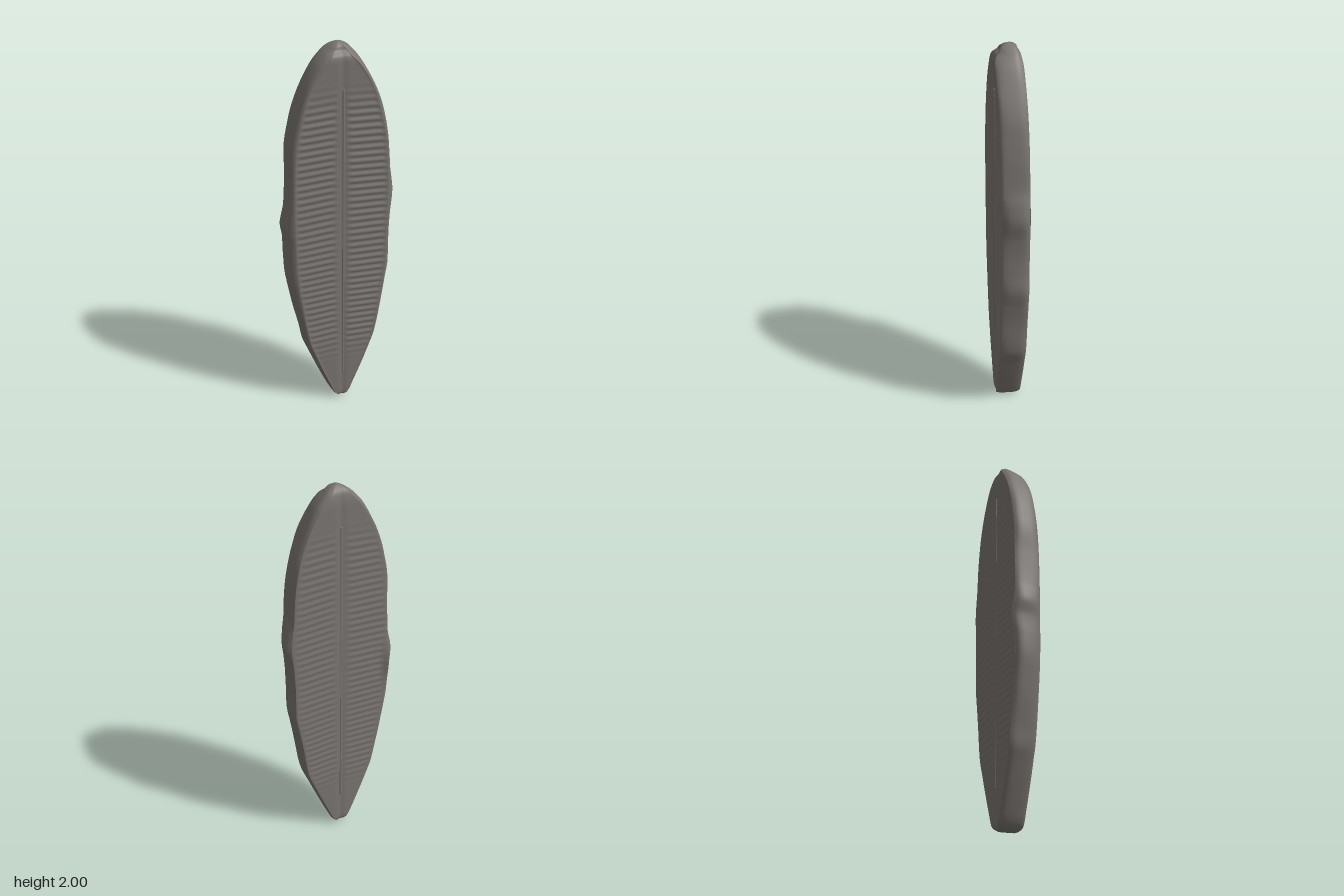
import * as THREE from 'three';

// Smooth cubic interpolation through [y, value] points
function profile(points) {
  const n = points.length;
  const slope = (i) => {
    const a = points[Math.max(i - 1, 0)], b = points[Math.min(i + 1, n - 1)];
    return (b[1] - a[1]) / (b[0] - a[0]);
  };
  return (y) => {
    let i = 0;
    while (i < n - 2 && y > points[i + 1][0]) i++;
    const [y0, v0] = points[i], [y1, v1] = points[i + 1];
    const h = y1 - y0, t = (y - y0) / h, t2 = t * t, t3 = t2 * t;
    return (2 * t3 - 3 * t2 + 1) * v0 + (t3 - 2 * t2 + t) * h * slope(i)
      + (3 * t2 - 2 * t3) * v1 + (t3 - t2) * h * slope(i + 1);
  };
}

// Wavy outer edge on each side, and the narrower edge of the front face
const edgeRight = profile([[0, 0.02], [0.015, 0.038], [0.05, 0.056], [0.1, 0.078], [0.2, 0.12], [0.3, 0.16],
  [0.4, 0.2], [0.58, 0.222], [0.7, 0.245], [0.8, 0.267], [0.9, 0.262], [1, 0.262], [1.1, 0.272], [1.2, 0.29],
  [1.28, 0.28], [1.36, 0.26], [1.5, 0.25], [1.6, 0.237], [1.69, 0.218], [1.8, 0.172], [1.9, 0.118],
  [1.96, 0.07], [1.985, 0.04], [1.996, 0.018], [2, 0.004]]);
const edgeLeft = profile([[0, 0.02], [0.015, 0.038], [0.05, 0.06], [0.1, 0.083], [0.2, 0.125], [0.3, 0.165],
  [0.36, 0.188], [0.45, 0.205], [0.58, 0.235], [0.7, 0.258], [0.8, 0.274], [0.9, 0.278], [1, 0.278], [1.08, 0.29],
  [1.18, 0.27], [1.35, 0.26], [1.5, 0.26], [1.6, 0.242], [1.69, 0.22], [1.8, 0.176], [1.9, 0.122],
  [1.96, 0.072], [1.985, 0.04], [1.996, 0.018], [2, 0.004]]);
const faceEdge = profile([[0, 0.008], [0.03, 0.035], [0.1, 0.066], [0.2, 0.108], [0.3, 0.146], [0.4, 0.18],
  [0.6, 0.215], [0.8, 0.241], [1, 0.248], [1.2, 0.25], [1.4, 0.244], [1.55, 0.228], [1.7, 0.192],
  [1.8, 0.155], [1.9, 0.092], [1.95, 0.045], [1.97, 0.03], [2, 0.002]]);
// Front and back depth, rounded off at the tips
const frontDepth = profile([[0, 0.055], [0.012, 0.068], [0.03, 0.072], [0.1, 0.073], [1, 0.073], [1.9, 0.07],
  [1.945, 0.064], [1.965, 0.043], [1.985, 0.035], [2, 0.012]]);
const backDepth = profile([[0, -0.04], [0.012, -0.052], [0.04, -0.058], [1, -0.062], [1.9, -0.057],
  [1.96, -0.05], [1.985, -0.036], [2, -0.012]]);

const bump = (v, centre, width) => Math.exp(-(((v - centre) / width) ** 2));

// Fine cross ribs that fade towards the tips, the rim and the midrib
function ribs(x, y, half) {
  const along = THREE.MathUtils.smoothstep(y, 0.2, 0.45) * (1 - THREE.MathUtils.smoothstep(y, 1.65, 1.85));
  const u = Math.abs(x) / half;
  const across = THREE.MathUtils.smoothstep(u, 0.08, 0.22) * (1 - THREE.MathUtils.smoothstep(u, 0.86, 0.97));
  return Math.sin((y + 0.05 * Math.abs(x)) * 2 * Math.PI / 0.036 + 0.5 * Math.sin(y * 9 + x * 4)) * along * across;
}

// One closed cross-section at height y: front, right side, back, left side
const FACE = 36;
const SIDE = [[0.1, 0.45], [0.28, 0.72], [0.48, 0.9], [0.66, 1], [0.8, 1], [0.92, 0.8], [0.975, 0.45]];
function section(y) {
  const zf = frontDepth(y), zb = backDepth(y);
  const R = edgeRight(y), L = edgeLeft(y), F = faceEdge(y);
  const fr = Math.min(F, R - 0.002), fl = Math.min(F, L - 0.002);
  const br = fr + (R - fr) * 0.5, bl = fl + (L - fl) * 0.5;
  const ring = [];
  const lip = (x) => -0.02 * bump(y, 1.0, 0.1) * bump(x, -0.27, 0.025);
  for (let i = 0; i <= FACE; i++) {
    const x = -fl + (fl + fr) * i / FACE;
    const rim = 0.003 * THREE.MathUtils.smoothstep(Math.abs(x) / fr, 0.9, 1);
    ring.push([x, zf + 0.0025 * ribs(x, y, fr) - 0.004 * bump(x, 0.005, 0.018) + rim]);
  }
  for (const [t, s] of SIDE) ring.push([fr + (R - fr) * s, zf + (zb - zf) * t]);
  for (let i = 0; i <= FACE; i++) {
    const x = br - (bl + br) * i / FACE;
    ring.push([x, zb - 0.0015 * ribs(x, y, br) + 0.004 * bump(x, 0, 0.018) + lip(x)]);
  }
  for (const [t, s] of [...SIDE].reverse()) {
    const x = -(fl + (L - fl) * s);
    ring.push([x, zf + (zb - zf) * t + lip(x) * t]);
  }
  return ring;
}

function bodyGeometry() {
  const heights = [0, 0.003];
  for (let y = 0.008; y < 1.99; y += 0.006) heights.push(y);
  heights.push(1.9925, 1.996, 1.9985, 2);
  const pos = [], idx = [];
  let n = 0;
  for (const y of heights) {
    const ring = section(y);
    n = ring.length;
    for (const [x, z] of ring) pos.push(x, y, z);
  }
  for (let r = 0; r < heights.length - 1; r++) {
    for (let j = 0; j < n; j++) {
      const a = r * n + j, b = r * n + (j + 1) % n;
      idx.push(a, b, a + n, b, b + n, a + n);
    }
  }
  // End caps
  const last = (heights.length - 1) * n, bottom = pos.length / 3, top = bottom + 1;
  pos.push(0, 0, 0.005, 0, 2, 0);
  for (let j = 0; j < n; j++) {
    const k = (j + 1) % n;
    idx.push(bottom, k, j, top, last + j, last + k);
  }
  const geo = new THREE.BufferGeometry();
  geo.setAttribute('position', new THREE.Float32BufferAttribute(pos, 3));
  geo.setIndex(idx);
  geo.computeVertexNormals();
  return geo;
}

// Slim raised vein lying in the central groove
function midrib(name, x, z, y0, y1, material) {
  const geo = new THREE.CapsuleGeometry(0.006, y1 - y0, 4, 10);
  geo.scale(1, 1, 0.6);
  const mesh = new THREE.Mesh(geo, material);
  mesh.position.set(x, (y0 + y1) / 2, z);
  mesh.name = name;
  return mesh;
}

export function createModel() {
  const group = new THREE.Group();
  group.name = 'leafSlab';
  const stone = new THREE.MeshStandardMaterial({ color: 0x7b7672 });
  stone.name = 'warm grey';
  const body = new THREE.Mesh(bodyGeometry(), stone);
  body.name = 'slabBody';
  group.add(body);
  group.add(midrib('frontMidrib', 0.008, 0.069, 0.16, 1.78, stone));
  group.add(midrib('backMidrib', 0, -0.057, 0.2, 1.8, stone));
  return group;
}
